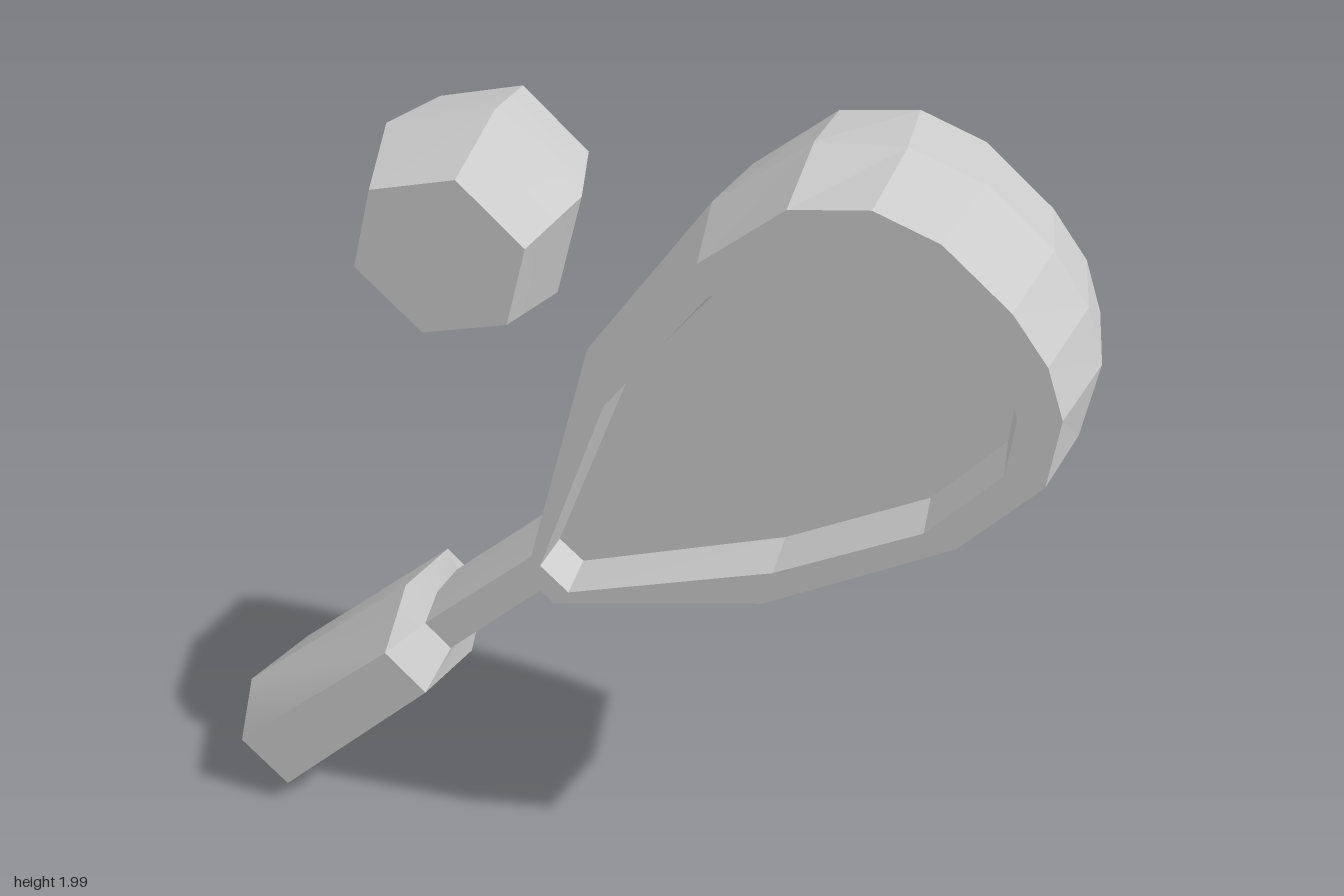
import * as THREE from 'three';
import { toCreasedNormals } from 'three/addons/utils/BufferGeometryUtils.js';

const DEPTH = 0.205;

// Joins closed rings of points; rings run clockwise as seen from the first ring.
function loft(name, rings, crease) {
  const pos = [];
  const tri = (a, b, c) => {
    const n = b.clone().sub(a).cross(c.clone().sub(a));
    if (n.length() > 1e-7) for (const p of [a, b, c]) pos.push(p.x, p.y, p.z);
  };
  for (let r = 0; r + 1 < rings.length; r++) {
    const A = rings[r], B = rings[r + 1];
    for (let i = 0; i < A.length; i++) {
      const j = (i + 1) % A.length;
      tri(A[i], A[j], B[j]);
      tri(A[i], B[j], B[i]);
    }
  }
  let geo = new THREE.BufferGeometry();
  geo.setAttribute('position', new THREE.Float32BufferAttribute(pos, 3));
  geo.computeVertexNormals();
  if (crease) geo = toCreasedNormals(geo, crease);
  const mesh = new THREE.Mesh(geo, new THREE.MeshStandardMaterial({ color: 0xcccccc, flatShading: !crease }));
  mesh.name = name;
  return mesh;
}

const ring = (pts, z) => pts.map(([x, y]) => new THREE.Vector3(x, y, z));
const dot = (n, x, y, z) => Array.from({ length: n }, () => new THREE.Vector3(x, y, z));

// Head: recessed panel, raised rim and ridged outer wall, mirrored front to back
function makeHead() {
  const panel = [[-0.14, 0.92], [0.02, 1.39], [0.24, 1.69], [0.39, 1.83], [0.54, 1.855], [0.66, 1.81], [0.77, 1.72],
    [0.82, 1.645], [0.85, 1.54], [0.84, 1.41], [0.69, 1.23], [0.38, 1.05], [-0.085, 0.87]];
  const lip = [[-0.15, 0.92], [0.0, 1.385], [0.22, 1.70], [0.39, 1.855], [0.54, 1.87], [0.67, 1.83], [0.79, 1.735],
    [0.84, 1.66], [0.87, 1.54], [0.855, 1.40], [0.70, 1.215], [0.38, 1.03], [-0.085, 0.86]];
  const face = [[-0.185, 0.88], [-0.07, 1.37], [0.2, 1.78], [0.38, 1.94], [0.55, 1.97], [0.69, 1.92], [0.84, 1.79],
    [0.92, 1.68], [0.96, 1.56], [0.94, 1.39], [0.77, 1.19], [0.36, 0.94], [-0.12, 0.82]];
  const ridge = [[-0.22, 0.86], [-0.105, 1.375], [0.17, 1.80], [0.38, 1.98], [0.57, 2.0], [0.735, 1.945], [0.88, 1.82],
    [0.96, 1.70], [1.0, 1.57], [0.97, 1.385], [0.79, 1.16], [0.36, 0.90], [-0.15, 0.785]];
  const half = s => [dot(13, 0.45, 1.45, s * 0.1), ring(panel, s * 0.1), ring(lip, s * DEPTH), ring(face, s * DEPTH)];
  return loft('racketHead', [...half(1), ring(ridge, 0), ...half(-1).reverse()]);
}

// Six-sided section across the handle: ridge corners at z = 0, flat faces at +-h
function section([ridgeX, ridgeW, faceX, faceW, h]) {
  return [[ridgeX, ridgeW, 0], [faceX, faceW, h], [faceX, -faceW, h],
    [ridgeX, -ridgeW, 0], [faceX, -faceW, -h], [faceX, faceW, -h]].map(p => new THREE.Vector3(...p));
}

// Handle: grip with a sloped shoulder, then a slim shaft into the head
function makeHandle() {
  const handle = new THREE.Group();
  handle.name = 'handle';
  const neck = [0.081, 0.057, 0.081, 0.043, 0.105];
  const grip = [
    [-0.594, 0.094, -0.534, 0.079, DEPTH],
    [-0.573, 0.131, -0.532, 0.08, DEPTH],
    [0.025, 0.114, 0.017, 0.068, DEPTH],
    neck,
  ].map(section);
  const shaft = [neck, [0.48, 0.053, 0.48, 0.04, 0.105]].map(section);
  handle.add(
    loft('grip', [dot(6, -0.594, 0, 0), ...grip], 0.5),
    loft('shaft', [...shaft, dot(6, 0.48, 0, 0)], 0.5));
  handle.rotation.z = Math.PI / 4;
  handle.position.set(-0.712 * Math.SQRT1_2, 0.712 * Math.SQRT1_2, 0);
  return handle;
}

// Ball: six-sided barrel, widest at the middle
function makeBall() {
  const hex = r => Array.from({ length: 6 }, (_, i) => {
    const a = THREE.MathUtils.degToRad(17 - 60 * i);
    return [r * Math.cos(a), r * Math.sin(a)];
  });
  const ball = loft('ball', [dot(6, 0, 0, DEPTH), ring(hex(0.2), DEPTH), ring(hex(0.256), 0),
    ring(hex(0.2), -DEPTH), dot(6, 0, 0, -DEPTH)], 0.6);
  ball.position.set(-0.357, 1.685, 0);
  return ball;
}

export function createModel() {
  const model = new THREE.Group();
  model.name = 'racketAndBall';
  model.add(makeHead(), makeHandle(), makeBall());
  return model;
}
